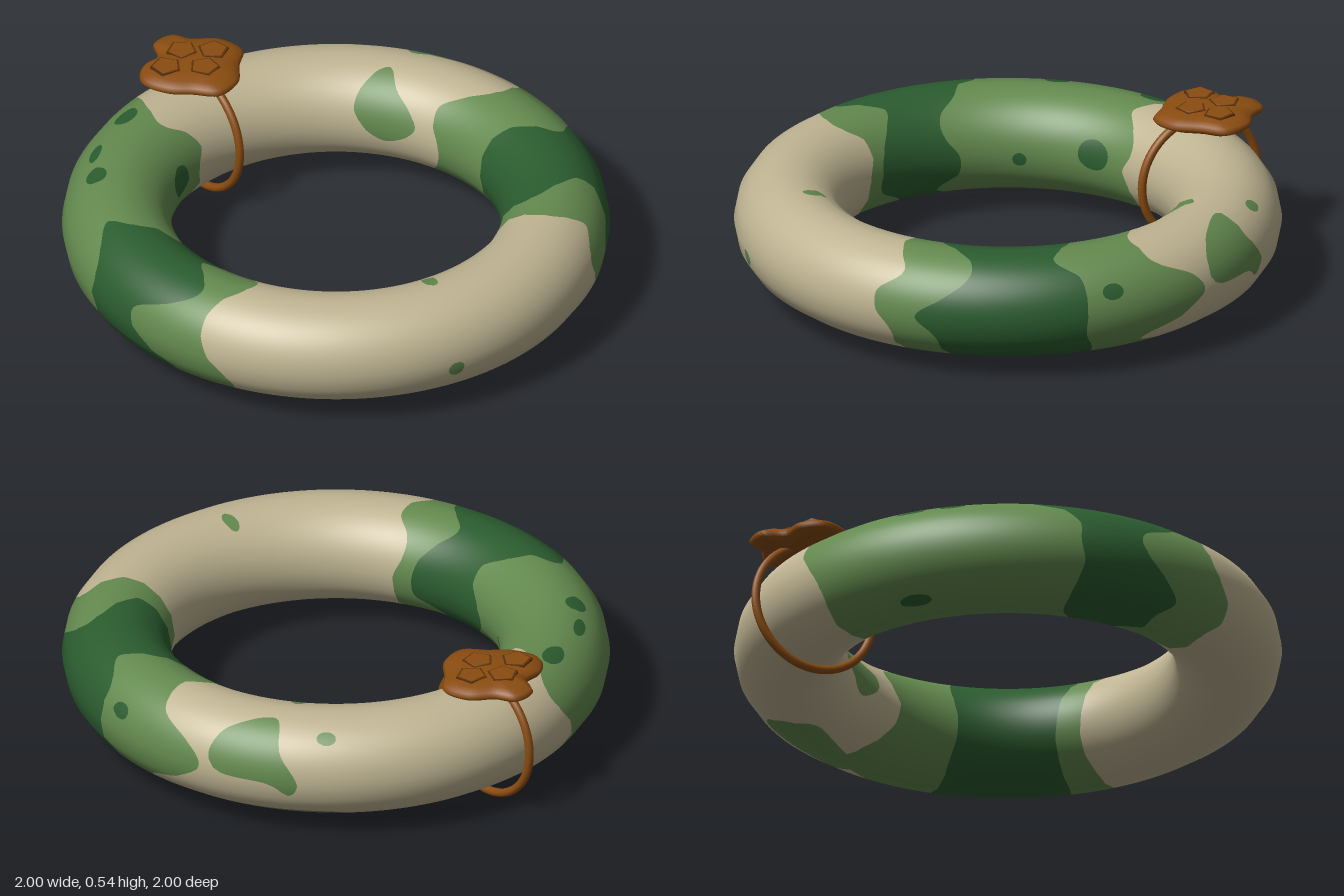
import * as THREE from 'three';

const mat = (name, hex) => Object.assign(new THREE.MeshStandardMaterial({ color: hex }), { name });
const RAD = Math.PI / 180;

// Camouflage is mapped by two angles in degrees: u round the ring, and v round the tube
// (0 outer, 90 top, 180 inner, -90 bottom).
// A band has two wavy borders, each giving u at every 22.5 degrees of v from -90 upward.
const greenBandBack = [
  [-4, -4, -3, -3, 0, 0, -5, -3, -1, -1, -2, -3, -4, -5, -5, -4],
  [-80, -67, -60, -69, -75, -72, -64, -62, -62, -67, -74, -74, -71, -72, -76, -80],
];
const greenBandFront = [
  [95, 96, 94, 95, 99, 101, 101, 99, 95, 94, 98, 98, 95, 95, 95, 95],
  [195, 195, 194, 194, 196, 199, 200, 197, 193, 190, 195, 198, 195, 197, 197, 196],
];
const darkBandBack = [
  [-14, -15, -14, -13, -9, -15, -20, -20, -15, -10, -10, -12, -13, -14, -14, -14],
  [-49, -49, -48, -46, -46, -46, -45, -40, -43, -47, -49, -49, -48, -48, -49, -49],
];
const darkBandFront = [
  [112, 112, 109, 114, 119, 119, 110, 105, 108, 113, 109, 104, 102, 103, 113, 117],
  [135, 135, 134, 133, 134, 134, 137, 143, 138, 135, 129, 129, 134, 134, 128, 132],
];
// Irregular green patches, as a few [u, v] points round each outline
const outerPatch = [[-80, 50], [-90, 72], [-93, 30], [-97, -4], [-95, -18], [-90, -4], [-80, 0]];
const innerPatch = [[-94, 105], [-103, 158], [-92, 192], [-81, 170], [-90, 130]];
const lowerPatch = [[-76, -68], [-101, -50], [-107, -70], [-99, -110], [-78, -98]];
// Oval spots: [u, v, half-size in u, half-size in v]
const greenSpots = [[-103, 50, 2.2, 8], [43.5, 108, 2, 14], [44.5, -12, 1.8, 9]];
const darkSpots = [[189, 69, 4, 11], [173, 60, 3.7, 7], [163, 67, 3.2, 12], [182, 172, 6, 17],
  [155, 187, 2.5, 8], [172, -65, 4, 8], [-52, 24, 2.4, 9]];

// Smooth periodic border through its samples
function borderAt(samples, v) {
  const f = (v + 450) / 22.5, i = Math.floor(f), t = f - i;
  const [a, b, c, d] = [-1, 0, 1, 2].map(k => samples[(i + k) % 16]);
  return b + 0.5 * t * (c - a + t * (2 * a - 5 * b + 4 * c - d + t * (3 * (b - c) + d - a)));
}

const inBand = ([p, q], u, v) => {
  const a = borderAt(p, v), b = borderAt(q, v);
  return u > Math.min(a, b) && u < Math.max(a, b);
};

const inSpot = ([cu, cv, ru, rv], u, v) => ((u - cu) / ru) ** 2 + ((v - cv) / rv) ** 2 < 1;

const closedOutline = points =>
  new THREE.CatmullRomCurve3(points.map(([x, z]) => new THREE.Vector3(x, 0, z)), true);

function inOutline(poly, u, v) {
  let hit = false;
  poly.forEach((a, i) => {
    const b = poly[(i + 1) % poly.length];
    if (a.z > v !== b.z > v && u < (b.x - a.x) * (v - a.z) / (b.z - a.z) + a.x) hit = !hit;
  });
  return hit;
}

// Point on the ring: 16-sided tube section with smooth normals
function ringPoint(u, v) {
  const k = Math.floor(v / 22.5), t = v / 22.5 - k;
  const a = k * 22.5 * RAD, b = (k + 1) * 22.5 * RAD;
  const r = 0.8 + 0.2 * THREE.MathUtils.lerp(Math.cos(a), Math.cos(b), t);
  const y = 0.26 + 0.2 * THREE.MathUtils.lerp(Math.sin(a), Math.sin(b), t);
  const c = Math.cos(u * RAD), s = Math.sin(u * RAD), n = Math.cos(v * RAD);
  return { p: [r * c, y, r * s], n: [n * c, Math.sin(v * RAD), n * s] };
}

function camouflageRing(materials) {
  const patches = [outerPatch, innerPatch, lowerPatch].map(p => closedOutline(p).getPoints(40));
  const colourAt = ([u, v]) => {
    if ([darkBandBack, darkBandFront].some(b => inBand(b, u, v)) || darkSpots.some(s => inSpot(s, u, v))) return 2;
    if ([greenBandBack, greenBandFront].some(b => inBand(b, u, v)) || greenSpots.some(s => inSpot(s, u, v)) ||
      patches.some(p => inOutline(p, u, v))) return 1;
    return 0;
  };
  const buckets = materials.map(() => []);
  const emit = (c, ...pts) => buckets[c].push(...pts);
  const mix = (a, b, t) => [a[0] + (b[0] - a[0]) * t, a[1] + (b[1] - a[1]) * t];
  // where the colour changes along an edge
  const crossing = (a, b, ca) => {
    let lo = 0, hi = 1;
    for (let i = 0; i < 7; i++) {
      const m = (lo + hi) / 2;
      if (colourAt(mix(a, b, m)) === ca) lo = m; else hi = m;
    }
    return mix(a, b, (lo + hi) / 2);
  };
  // split a triangle along the patch border so that borders stay smooth
  const triangle = (q, c) => {
    const i = [0, 1, 2].find(k => c[(k + 1) % 3] === c[(k + 2) % 3]);
    if (i === undefined || c[i] === c[(i + 1) % 3]) return emit(c[0], ...q);
    const a = q[i], b = q[(i + 1) % 3], d = q[(i + 2) % 3];
    const ab = crossing(a, b, c[i]), ad = crossing(a, d, c[i]);
    emit(c[i], a, ab, ad);
    emit(c[(i + 1) % 3], ab, b, d, ab, d, ad);
  };
  const NU = 288, NV = 96, grid = [];
  for (let i = 0; i <= NU; i++) {
    grid.push([]);
    for (let j = 0; j <= NV; j++) {
      const q = [-120 + i * 360 / NU, -131.25 + j * 360 / NV];
      grid[i].push({ q, c: colourAt(q) });
    }
  }
  for (let i = 0; i < NU; i++) for (let j = 0; j < NV; j++) {
    const a = grid[i][j], b = grid[i][j + 1], c = grid[i + 1][j + 1], d = grid[i + 1][j];
    for (const t of [[a, b, c], [a, c, d]]) triangle(t.map(k => k.q), t.map(k => k.c));
  }
  const geo = new THREE.BufferGeometry(), pos = [], nor = [];
  buckets.forEach((pts, m) => {
    geo.addGroup(pos.length / 3, pts.length, m);
    for (const [u, v] of pts) {
      const { p, n } = ringPoint(u, v);
      pos.push(...p);
      nor.push(...n);
    }
  });
  geo.setAttribute('position', new THREE.Float32BufferAttribute(pos, 3));
  geo.setAttribute('normal', new THREE.Float32BufferAttribute(nor, 3));
  return new THREE.Mesh(geo, materials);
}

// Lobed, lens-shaped medallion: a lathe whose rings follow a wavy outline
function medallionGeometry() {
  const outline = closedOutline([[-0.187, -0.085], [-0.144, -0.005], [-0.176, 0.075], [-0.144, 0.166],
    [-0.037, 0.19], [0.053, 0.166], [0.15, 0.144], [0.187, 0.05], [0.155, -0.06], [0.134, -0.155],
    [0.03, -0.19], [-0.064, -0.155], [-0.144, -0.155]]);
  const upper = [[1, 0], [0.95, 0.013], [0.8, 0.026], [0.55, 0.034], [0, 0.036]];
  const lower = upper.slice(1).reverse().map(([r, y]) => [r, -y]);
  const profile = [...lower, ...upper].map(p => new THREE.Vector2(...p));
  const segs = 78, geo = new THREE.LatheGeometry(profile, segs), pos = geo.attributes.position;
  for (let i = 0; i <= segs; i++) {
    const o = outline.getPoint((i % segs) / segs);
    profile.forEach((p, j) => pos.setXYZ(i * profile.length + j, o.x * p.x, p.y, o.z * p.x));
  }
  geo.computeVertexNormals();
  return geo;
}

export function createModel() {
  const tan = mat('tan', 0xbfb492), green = mat('light green', 0x63894e), dark = mat('dark green', 0x2b5c2f);
  const brown = mat('brown', 0x8a4c10), groove = mat('dark brown', 0x5c310a);
  const model = new THREE.Group();
  const add = (parent, name, object, x = 0, y = 0, z = 0) => {
    object.name = name;
    object.position.set(x, y, z);
    parent.add(object);
    return object;
  };

  add(model, 'camouflageRing', camouflageRing([tan, green, dark]));

  // thin loop round the tube
  const loop = add(model, 'loop', new THREE.Mesh(new THREE.TorusGeometry(0.24, 0.016, 10, 64), brown), -0.678, 0.256, -0.424);
  loop.rotation.y = -32 * RAD;

  // medallion with four raised pentagons
  const medallion = add(model, 'medallion', new THREE.Group(), -0.702, 0.503, -0.444);
  add(medallion, 'medallionBody', new THREE.Mesh(medallionGeometry(), brown));
  [[-0.06, -0.037, 0.3], [0.048, -0.075, 0.9], [-0.08, 0.08, 0.1], [0.053, 0.037, 0.6]].forEach(([x, z, turn]) => {
    const tile = add(medallion, 'pentagon', new THREE.Group(), x, 0.029, z);
    tile.rotation.y = turn;
    add(tile, 'pentagonBorder', new THREE.Mesh(new THREE.CylinderGeometry(0.059, 0.06, 0.014, 5), groove));
    add(tile, 'pentagonFace', new THREE.Mesh(new THREE.CylinderGeometry(0.05, 0.056, 0.018, 5), brown), 0, 0.001, 0);
  });
  return model;
}
